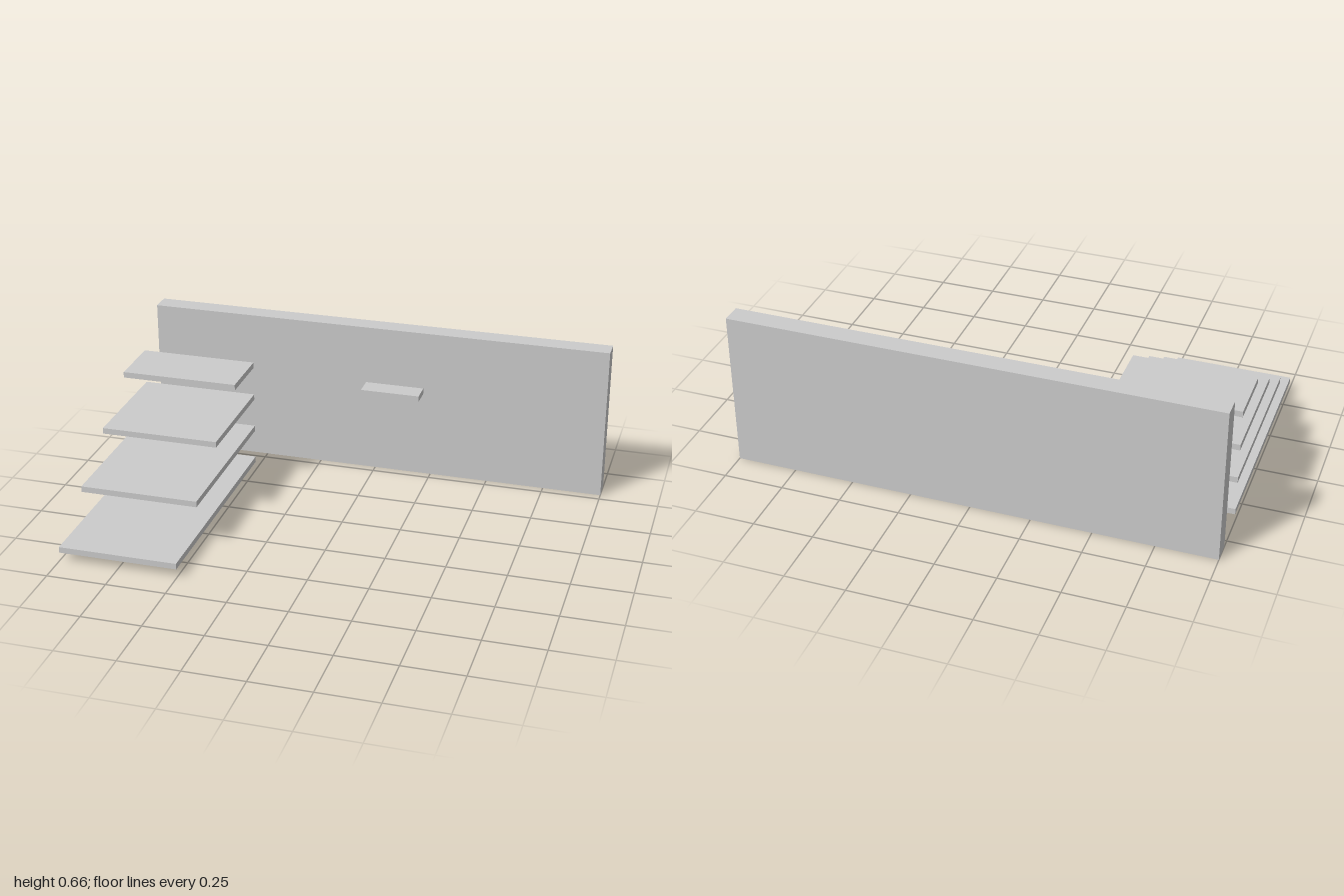
import * as THREE from 'three';

const material = new THREE.MeshStandardMaterial({ color: 0xcccccc, flatShading: true });

// Box given by its [min, max] extent along each axis
function slab(name, [x0, x1], [y0, y1], [z0, z1]) {
  const mesh = new THREE.Mesh(new THREE.BoxGeometry(x1 - x0, y1 - y0, z1 - z0), material);
  mesh.name = name;
  mesh.position.set((x0 + x1) / 2, (y0 + y1) / 2, (z0 + z1) / 2);
  return mesh;
}

export function createModel() {
  const group = new THREE.Group();
  group.name = 'steppedPlatforms';
  const backZ = -0.373;
  const thickness = 0.025;

  // Tall wall behind everything
  group.add(slab('backWall', [-1, 1], [0, 0.66], [-0.622, -0.537]));

  // Four floating steps, each shorter than the one below
  const steps = new THREE.Group();
  steps.name = 'steps';
  for (let i = 0; i < 4; i++) {
    const y = 0.036 + i * 0.15;
    steps.add(slab(`step${i + 1}`, [-1, -0.502], [y, y + thickness], [backZ, 0.622 - i * 0.249]));
  }
  group.add(steps);

  // Small floating ledge near the middle of the wall
  group.add(slab('ledge', [0, 0.249], [0.455, 0.48], [backZ, -0.288]));

  return group;
}
